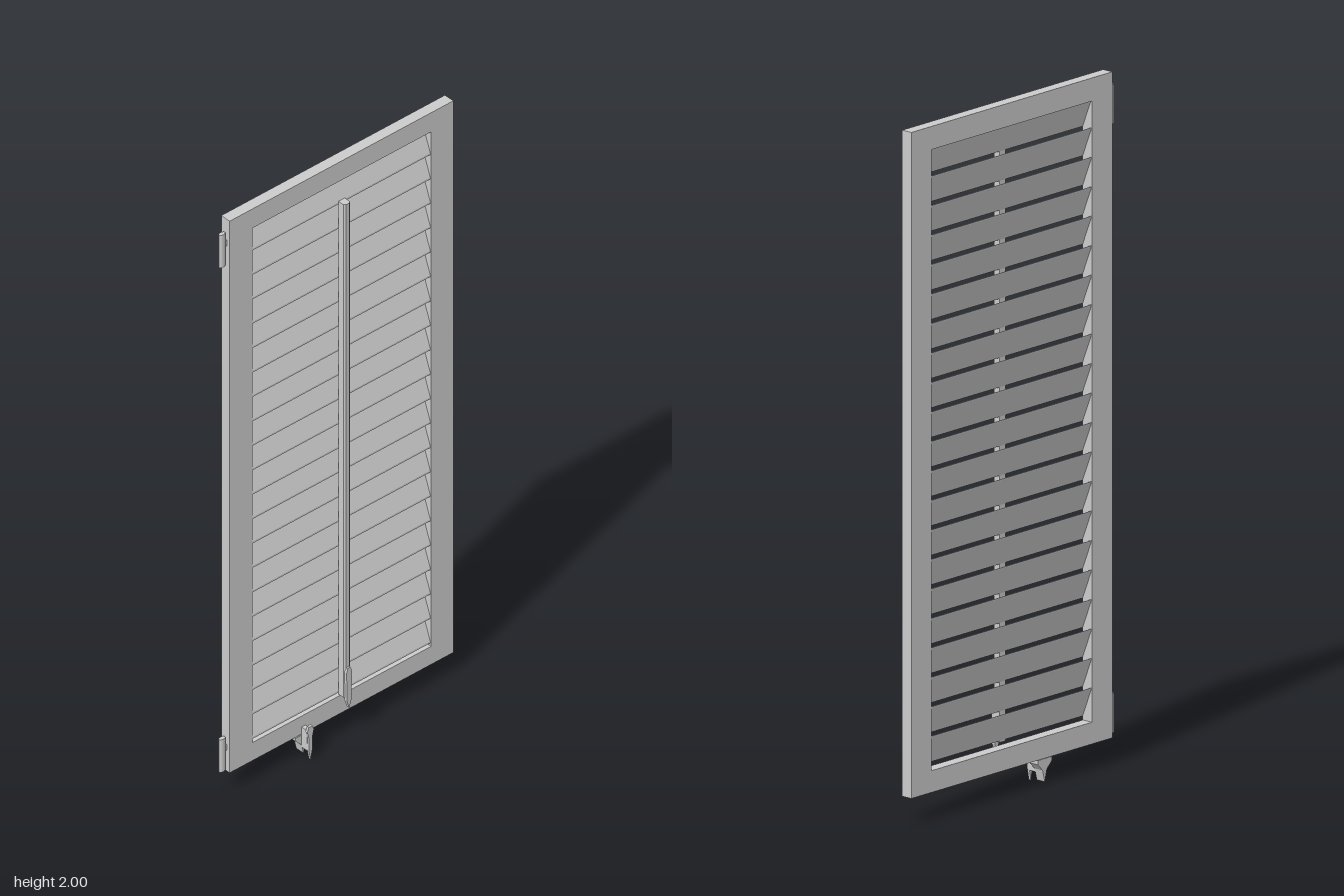
import * as THREE from 'three';

export function createModel() {
  const root = new THREE.Group();
  const paint = new THREE.MeshStandardMaterial({ color: 0xcccccc });
  paint.name = 'paleGrey';

  const add = (name, geo, x = 0, y = 0, z = 0, parent = root) => {
    const mesh = new THREE.Mesh(geo, paint);
    mesh.name = name;
    mesh.position.set(x, y, z);
    parent.add(mesh);
    return mesh;
  };
  const outline = (pts) => new THREE.Shape(pts.map(([x, y]) => new THREE.Vector2(x, y)));
  const extrude = (shape, depth) =>
    new THREE.ExtrudeGeometry(shape, { depth, bevelEnabled: false, curveSegments: 6 });
  const rect = (x0, y0, x1, y1) => [[x0, y0], [x1, y0], [x1, y1], [x0, y1]];

  // Frame with a rectangular opening
  const frame = outline(rect(-0.405, 0.075, 0.428, 2));
  frame.holes.push(outline(rect(-0.32, 0.138, 0.345, 1.933)));
  add('frame', extrude(frame, 0.035), 0, 0, -0.035);

  // Louvres: low edge at the front, high edge at the back
  const slats = new THREE.Group();
  slats.name = 'slats';
  root.add(slats);
  const pitch = 0.0852;
  const section = outline([[0, 0], [0.033, 0.0845], [0.033, 0.087], [0.0305, 0.087], [0, 0.006]]);
  const slatGeo = extrude(section, 0.662);
  slatGeo.rotateY(Math.PI / 2); // profile x becomes -z, depth becomes +x
  for (let i = 0; i < 21; i++) add('slat', slatGeo, -0.319, 0.15 + i * pitch, -0.001, slats);

  // Tilt rod: rounded-front bar running down the middle
  const bar = outline([[0, 0], [0.024, 0], [0.024, -0.021], [0.018, -0.026], [0.006, -0.026], [0, -0.021]]);
  const barGeo = extrude(bar, 1.72);
  barGeo.rotateX(-Math.PI / 2); // profile y becomes -z, depth becomes +y
  add('tiltRod', barGeo, 0, 0.145, 0);

  // Pull at the foot of the rod
  const pull = outline([[0.012, 0.11], [0.02, 0.135], [0.022, 0.235], [0.017, 0.25],
    [0.007, 0.25], [0.002, 0.235], [0.004, 0.135]]);
  add('rodPull', extrude(pull, 0.011), 0, 0, 0.021);

  // Bottom latch: grip in front, stem and winged catch under the frame
  const latch = new THREE.Group();
  latch.name = 'latch';
  latch.position.x = -0.13;
  root.add(latch);
  const grip = outline([[0, 0], [0.007, 0.035], [0.006, 0.075], [0.012, 0.1], [0.007, 0.115],
    [-0.007, 0.115], [-0.012, 0.1], [-0.006, 0.075], [-0.007, 0.035]]);
  add('latchGrip', extrude(grip, 0.008), 0, 0, 0.022, latch);
  add('latchStem', new THREE.BoxGeometry(0.014, 0.07, 0.024), 0, 0.065, 0.011, latch);
  const wing = outline([[0, 0.005], [0.009, 0.04], [0.029, 0.06], [0.029, 0.072],
    [-0.029, 0.072], [-0.029, 0.06], [-0.009, 0.04]]);
  add('latchCatch', extrude(wing, 0.03), 0, 0, -0.03, latch);

  // Hinges on the right edge: rounded barrel, thin leaf and pin
  for (const y of [1.9, 0.14]) {
    const hinge = new THREE.Group();
    hinge.name = 'hinge';
    hinge.position.set(-0.421, y, -0.014);
    root.add(hinge);
    const barrel = new THREE.CylinderGeometry(0.011, 0.011, 0.114, 12);
    barrel.scale(1, 1, 0.6);
    add('hingeBarrel', barrel, 0, 0, 0, hinge);
    add('hingeLeaf', new THREE.BoxGeometry(0.018, 0.02, 0.005), 0.01, 0.018, 0, hinge);
  }
  return root;
}
